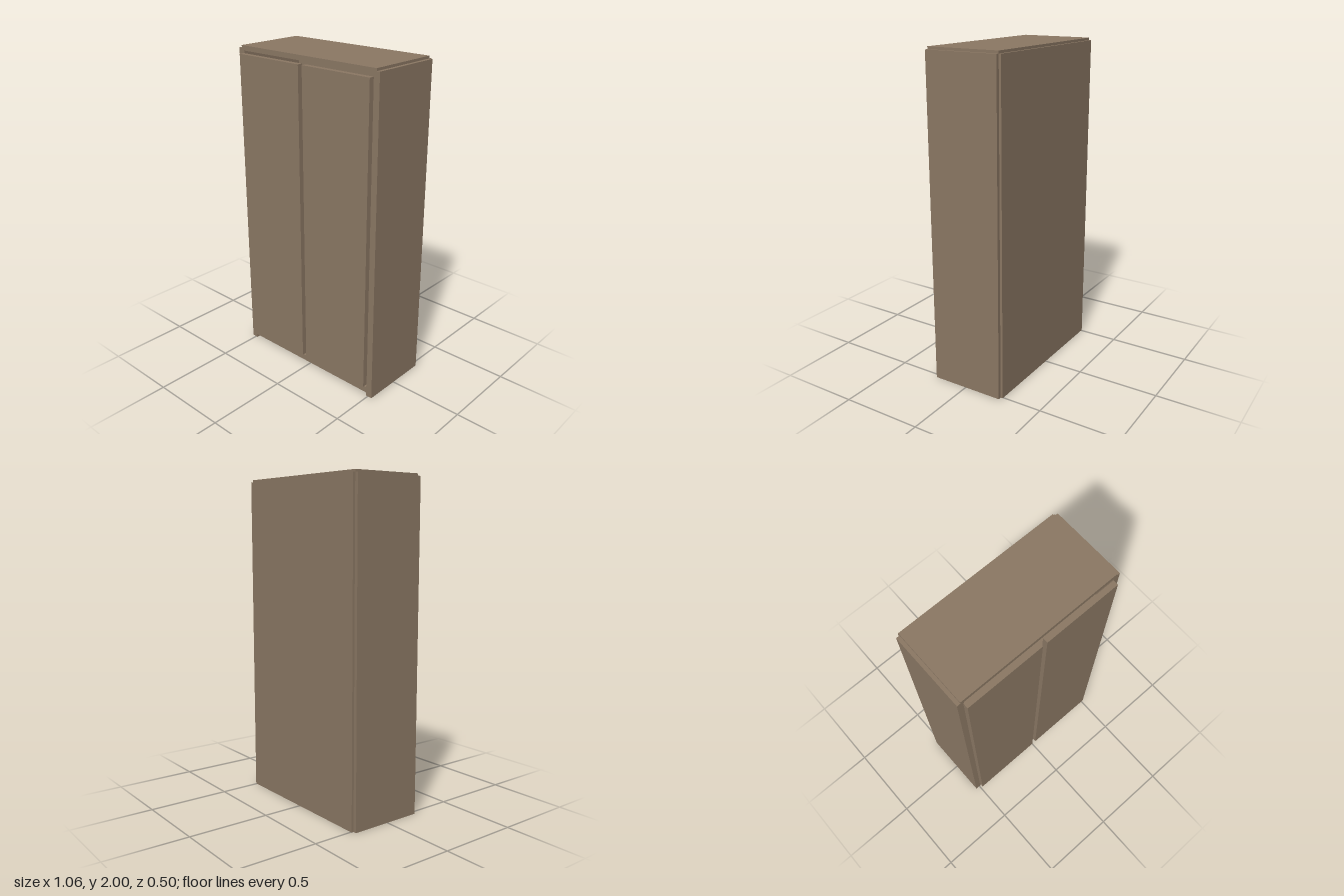
import * as THREE from 'three';

export function createModel() {
  const group = new THREE.Group();
  const wood = new THREE.MeshStandardMaterial({ color: 0x8a7763 });

  // Adds a board spanning the given [min, max] ranges
  function board(name, [x0, x1], [y0, y1], [z0, z1]) {
    const mesh = new THREE.Mesh(new THREE.BoxGeometry(x1 - x0, y1 - y0, z1 - z0), wood);
    mesh.position.set((x0 + x1) / 2, (y0 + y1) / 2, (z0 + z1) / 2);
    mesh.name = name;
    group.add(mesh);
  }

  const depth = [-0.238, 0.22];
  const inner = [-0.487, 0.487];

  // Carcass
  board('leftSide', [0.487, 0.528], [0, 1.985], depth);
  board('rightSide', [-0.528, -0.487], [0, 1.985], depth);
  board('topPanel', [-0.507, 0.507], [1.97, 2], depth);
  board('bottomPanel', inner, [0.022, 0.06], depth);
  board('backPanel', [-0.507, 0.507], [0, 1.985], [-0.252, -0.238]);

  // Five evenly spaced shelves
  for (let i = 0; i < 5; i++) {
    const y = 0.364 + i * 0.324;
    board('shelf' + (i + 1), inner, [y - 0.016, y + 0.016], depth);
  }

  // Doors overlaid on the front, with a narrow gap between them
  board('leftDoor', [0.013, 0.489], [0.083, 1.955], [0.22, 0.252]);
  board('rightDoor', [-0.492, -0.016], [0.083, 1.955], [0.22, 0.252]);

  return group;
}
